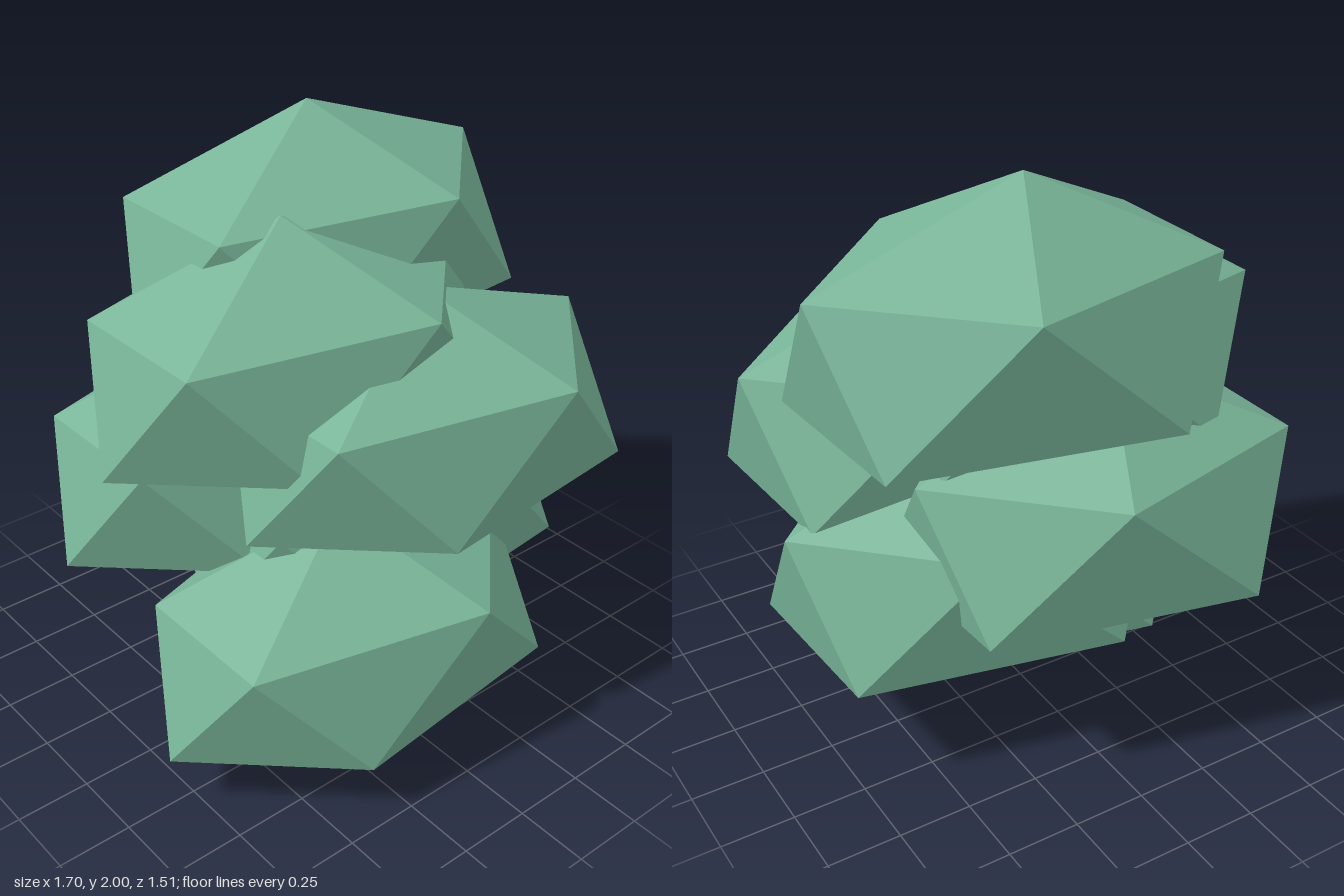
import * as THREE from 'three';

// One irregular, squashed twenty-sided boulder: apex, two rings of five, base point
const APEX = [0.15, 2.0, -0.26];
const UPPER = [
  [0.85, 1.75, -0.26], [0.375, 1.75, 0.21], [-0.39, 1.73, 0.0],
  [-0.39, 1.73, -0.51], [0.375, 1.75, -0.725],
];
const LOWER = [
  [0.8, 1.305, 0.06], [-0.065, 1.335, 0.175], [-0.53, 1.335, -0.26],
  [-0.1, 1.315, -0.76], [0.77, 1.31, -0.56],
];
const BASE = [0.15, 1.125, -0.255];

function boulderGeometry() {
  const points = [];
  for (let i = 0; i < 5; i++) {
    const j = (i + 1) % 5;
    points.push(
      APEX, UPPER[j], UPPER[i],
      UPPER[i], UPPER[j], LOWER[i],
      UPPER[j], LOWER[j], LOWER[i],
      BASE, LOWER[i], LOWER[j],
    );
  }
  const geometry = new THREE.BufferGeometry();
  geometry.setAttribute('position', new THREE.Float32BufferAttribute(points.flat(), 3));
  geometry.computeVertexNormals();
  return geometry;
}

export function createModel() {
  const group = new THREE.Group();
  group.name = 'boulderStack';

  const green = new THREE.MeshStandardMaterial({ color: 0x78b498, flatShading: true });
  green.name = 'sageGreen';

  // Six copies step downward, alternating sideways and cycling from back to front
  const geometry = boulderGeometry();
  for (let i = 0; i < 6; i++) {
    const boulder = new THREE.Mesh(geometry, green);
    boulder.name = `boulder${i + 1}`;
    boulder.position.set(-0.32 * (i % 2), -0.225 * i, 0.27 * (i % 3));
    group.add(boulder);
  }
  return group;
}
